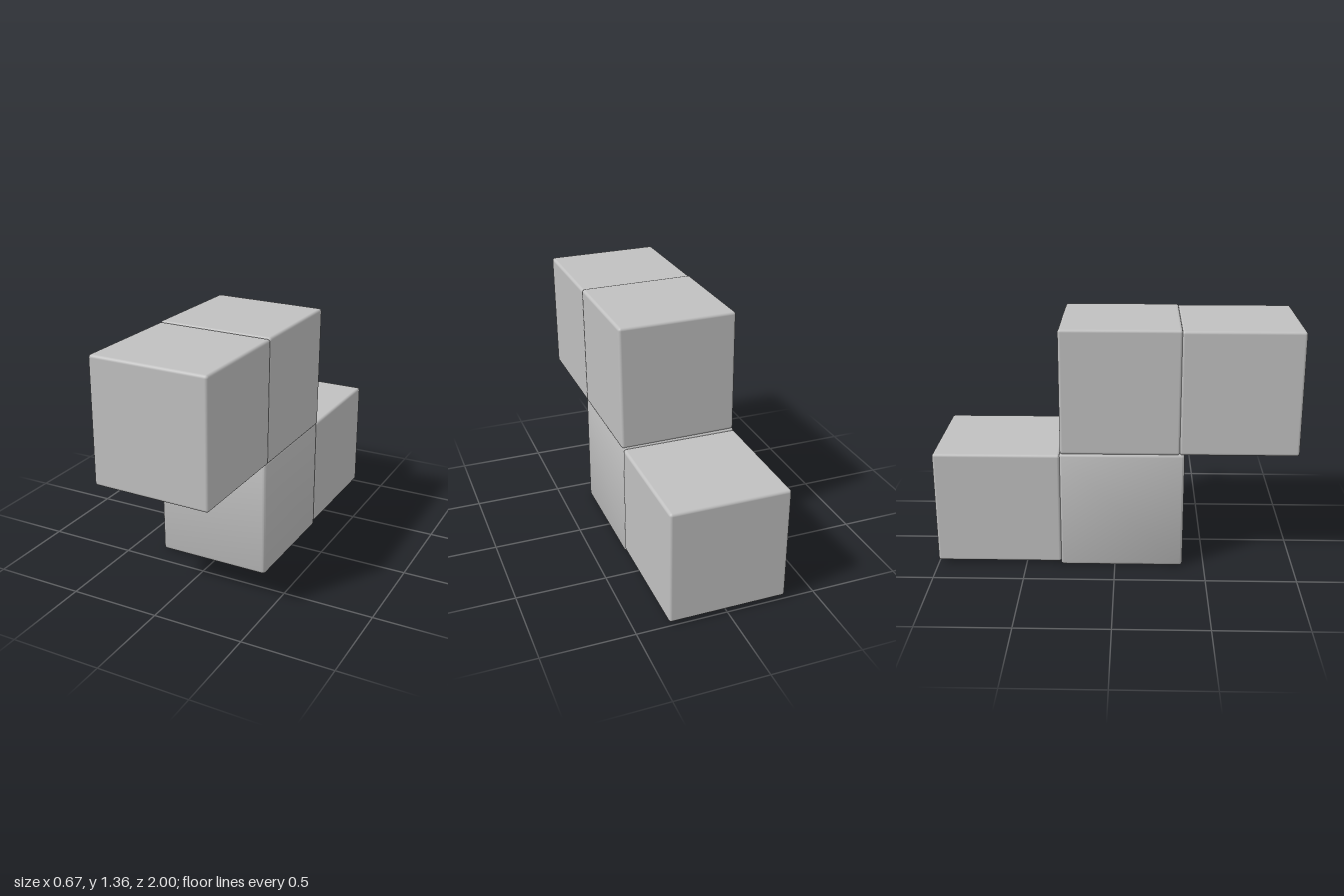
import * as THREE from 'three';
import { RoundedBoxGeometry } from 'three/addons/geometries/RoundedBoxGeometry.js';
import { toCreasedNormals } from 'three/addons/utils/BufferGeometryUtils.js';

const EDGE = 0.016; // softened edge radius

// Soft-edged block given by its lower and upper corners
function block(name, [x0, y0, z0], [x1, y1, z1], material, tilt = 0) {
  const geometry = new RoundedBoxGeometry(x1 - x0, y1 - y0, z1 - z0, 3, EDGE);
  const mesh = new THREE.Mesh(geometry, material);
  mesh.position.set((x0 + x1) / 2, (y0 + y1) / 2, (z0 + z1) / 2);
  mesh.rotation.z = tilt;
  mesh.name = name;
  return mesh;
}

// Block with a round vertical bore, extruded upward from its footprint
function boredBlock(name, [x0, y0, z0], [x1, y1, z1], radius, material) {
  const r = 0.004;
  const hx = (x1 - x0) / 2 - EDGE - r;
  const hz = (z1 - z0) / 2 - EDGE - r;
  const shape = new THREE.Shape();
  [[1, 1], [-1, 1], [-1, -1], [1, -1]].forEach(([sx, sz], i) => {
    shape.absarc(sx * hx, sz * hz, r, i * Math.PI / 2, (i + 1) * Math.PI / 2, false);
  });
  const bore = new THREE.Path();
  bore.absarc(0, 0, radius, 0, Math.PI * 2, true);
  shape.holes.push(bore);
  const extruded = new THREE.ExtrudeGeometry(shape, {
    depth: y1 - y0 - 2 * EDGE, bevelThickness: EDGE, bevelSize: EDGE, bevelSegments: 3, curveSegments: 8,
  });
  extruded.rotateX(-Math.PI / 2);
  const mesh = new THREE.Mesh(toCreasedNormals(extruded, 0.7), material);
  mesh.position.set((x0 + x1) / 2, y0 + EDGE, (z0 + z1) / 2);
  mesh.name = name;
  return mesh;
}

export function createModel() {
  const group = new THREE.Group();
  group.name = 'steppedBlocks';
  const grey = new THREE.MeshStandardMaterial({ color: 0xc0c0c0 });
  grey.name = 'plain grey';

  // Upper pair, leaning very slightly
  group.add(block('upperFrontBlock', [-0.325, 0.665, 0.35], [0.33, 1.355, 1.0], grey, -0.01));
  group.add(block('upperBackBlock', [-0.325, 0.665, -0.3], [0.33, 1.36, 0.355], grey, -0.01));

  // Lower pair, stepped backward; the front one has a hole underneath
  group.add(boredBlock('lowerFrontBlock', [-0.332, 0, -0.305], [0.322, 0.672, 0.38], 0.09, grey));
  group.add(block('lowerBackBlock', [-0.332, 0.018, -1.0], [0.322, 0.665, -0.3], grey));
  return group;
}
